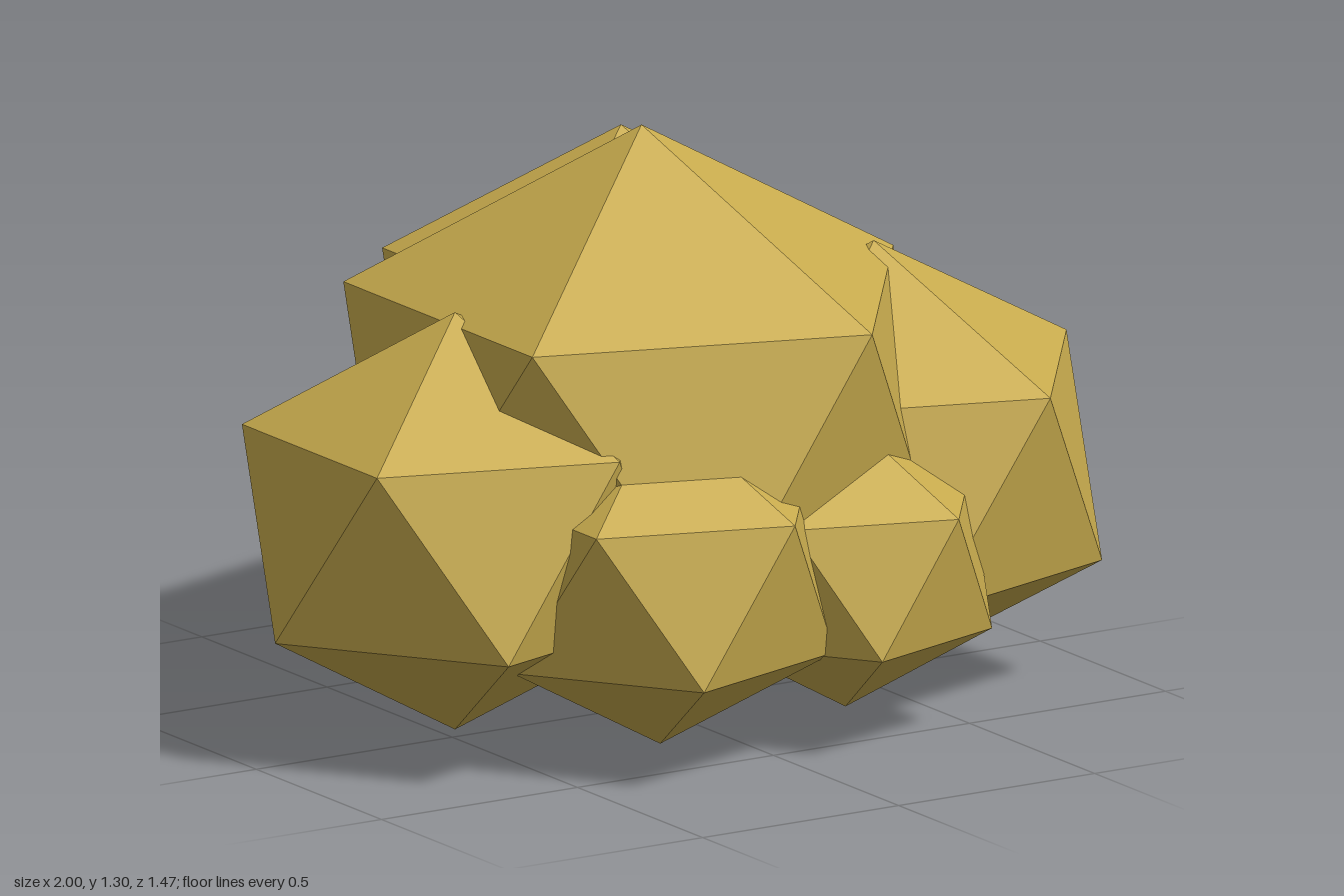
import * as THREE from 'three';
import { ConvexGeometry } from 'three/addons/geometries/ConvexGeometry.js';

// Icosahedron standing on a corner: two poles and two staggered rings of five
function rockGeometry(radius, halfHeight) {
  const points = [new THREE.Vector3(0, halfHeight, 0), new THREE.Vector3(0, -halfHeight, 0)];
  const ringRadius = radius * 2 / Math.sqrt(5);
  const ringHeight = halfHeight / Math.sqrt(5);
  for (let i = 0; i < 5; i++) {
    const a = i * Math.PI * 2 / 5;
    const x = ringRadius * Math.cos(a), z = ringRadius * Math.sin(a);
    points.push(new THREE.Vector3(x, ringHeight, z), new THREE.Vector3(-x, -ringHeight, z));
  }
  return new ConvexGeometry(points);
}

export function createModel() {
  const group = new THREE.Group();
  group.name = 'rockCluster';
  const ochre = new THREE.MeshStandardMaterial({ color: 0xc9ac4e, flatShading: true });
  ochre.name = 'ochre stone';

  // name, centre x y z, horizontal radius, half height
  const rocks = [
    ['mainRock', -0.03, 0.654, 0.02, 0.718, 0.65],
    ['backRock', 0.09, 0.716, -0.25, 0.575, 0.511],
    ['leftRock', 0.508, 0.503, 0.105, 0.55, 0.486],
    ['rightRock', -0.541, 0.508, 0.075, 0.513, 0.464],
    ['frontRightRock', -0.211, 0.411, 0.378, 0.42, 0.378],
    ['frontLeftRock', 0.238, 0.384, 0.415, 0.353, 0.324],
  ];
  for (const [name, x, y, z, radius, halfHeight] of rocks) {
    const rock = new THREE.Mesh(rockGeometry(radius, halfHeight), ochre);
    rock.name = name;
    rock.position.set(x, y, z);
    group.add(rock);
  }
  return group;
}
